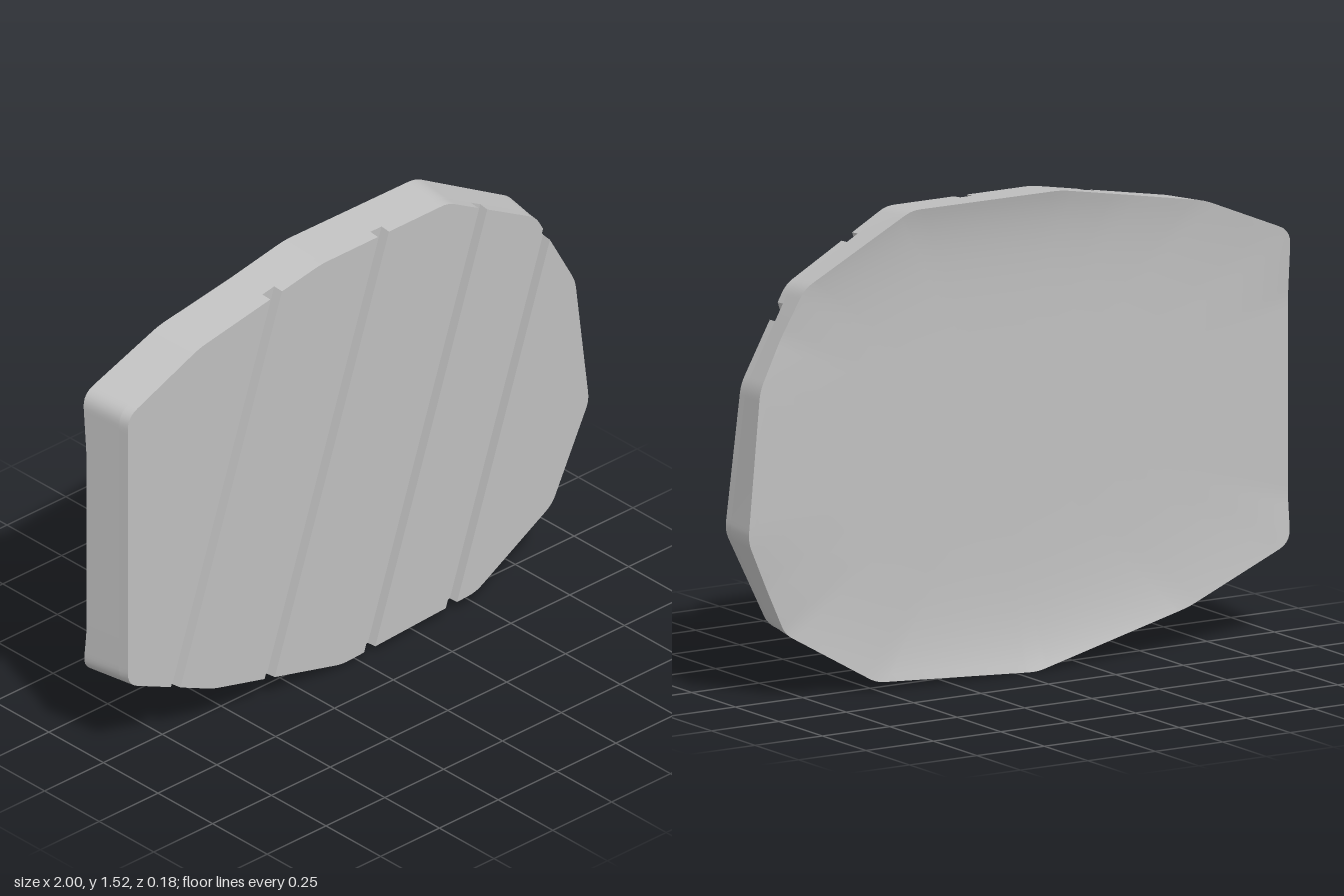
import * as THREE from 'three';
import { toCreasedNormals } from 'three/addons/utils/BufferGeometryUtils.js';

const CY = 0.763, FRONT_Z = 0.09, FLOOR_Z = 0.055;
const FRONT_SCALE = 0.98, FLOOR_SCALE = 0.984;
const LEAN = 0.341, GROOVE = 0.047;

// Back rim corners, counter-clockwise from the front: x, y, z, corner radius
const RIM = [
  [-1, 0.305, -0.092, 0.045], [-0.63, 0.14, -0.08, 0.03], [-0.07, 0, -0.079, 0.03],
  [0.51, 0.03, -0.052, 0.03], [0.84, 0.22, -0.039, 0.03], [0.92, 0.38, -0.053, 0.03],
  [1, 0.54, -0.075, 0.03], [0.94, 1.01, -0.05, 0.03], [0.855, 1.163, -0.035, 0.03],
  [0.77, 1.315, -0.043, 0.03], [0.39, 1.525, -0.07, 0.03], [-0.16, 1.525, -0.076, 0.03],
  [-0.4, 1.482, -0.074, 0.03], [-0.69, 1.43, -0.081, 0.03], [-1, 1.3, -0.094, 0.045],
  [-1, 1.08, -0.077, 0.03], [-1, 0.45, -0.077, 0.03],
];

// Outline with small rounded corners
function roundedRim() {
  const pts = RIM.map((p) => new THREE.Vector3(p[0], p[1], p[2]));
  const out = [];
  pts.forEach((p, i) => {
    const prev = pts[(i + pts.length - 1) % pts.length], next = pts[(i + 1) % pts.length];
    const toward = (q, d) => p.clone().addScaledVector(q.clone().sub(p).normalize(), d);
    const r = RIM[i][3];
    const curve = new THREE.QuadraticBezierCurve3(toward(prev, r), p, toward(next, r));
    out.push(toward(prev, r * 1.4), ...curve.getPoints(5), toward(next, r * 1.4));
  });
  return out;
}

// The outline scaled about its middle; z is a number or a rule
const scaled = (ring, s, z) => ring.map((p) =>
  new THREE.Vector3(p.x * s, CY + (p.y - CY) * s, z));

// Skin a list of rings from front to back, closing the first with a fan
function loft(rings) {
  const pos = [];
  const tri = (...v) => v.forEach((p) => pos.push(p.x, p.y, p.z));
  const n = rings[0].length;
  const mid = rings[0].reduce((a, p) => a.add(p), new THREE.Vector3()).divideScalar(n);
  for (let j = 0; j < n; j++) {
    const k = (j + 1) % n;
    tri(mid, rings[0][j], rings[0][k]);
    for (let i = 0; i + 1 < rings.length; i++) {
      const a = rings[i], b = rings[i + 1];
      tri(a[j], b[j], b[k]);
      if (a[j].distanceTo(a[k]) > 1e-6) tri(a[j], b[k], a[k]);
    }
  }
  const geo = new THREE.BufferGeometry();
  geo.setAttribute('position', new THREE.Float32BufferAttribute(pos, 3));
  return toCreasedNormals(geo, 0.6);
}

// Keep the part of a convex ring where sign * (u - limit) >= 0, u across the grooves
function clip(ring, limit, sign) {
  const side = (p) => sign * (p.x - LEAN * (p.y - CY) - limit);
  const out = [];
  ring.forEach((p, i) => {
    const q = ring[(i + 1) % ring.length], a = side(p), b = side(q);
    if (a >= 0) out.push(p.clone());
    if (a * b < 0) out.push(p.clone().lerp(q, a / (a - b)));
  });
  return out;
}

export function createModel() {
  const group = new THREE.Group();
  const grey = new THREE.MeshStandardMaterial({ color: 0xc0c0c0 });
  grey.name = 'light grey';
  const add = (name, geo) => {
    const mesh = new THREE.Mesh(geo, grey);
    mesh.name = name;
    group.add(mesh);
  };

  // Body: groove floor, flared side wall and shallow hollow back
  const rim = roundedRim();
  const hollow = (x) => -0.032 - 0.045 * Math.pow(Math.max(0, -x), 1.5);
  const rings = [scaled(rim, FLOOR_SCALE, FLOOR_Z), rim];
  for (const t of [0.97, 0.93, 0.88, 0.82, 0.75, 0.66, 0.55, 0.4, 0.2, 0]) {
    rings.push(scaled(rim, t, 0).map((p, i) => {
      p.z = THREE.MathUtils.lerp(hollow(p.x), rim[i].z, Math.pow(t, 6));
      return p;
    }));
  }
  add('panelBody', loft(rings));

  // Front slats separated by four slanting grooves
  const front = scaled(rim, FRONT_SCALE, FRONT_Z);
  const grooves = [-0.592, -0.148, 0.301, 0.642];
  for (let i = 0; i <= grooves.length; i++) {
    let face = front;
    if (i > 0) face = clip(face, grooves[i - 1] + GROOVE / 2, 1);
    if (i < grooves.length) face = clip(face, grooves[i] - GROOVE / 2, -1);
    add('frontSlat' + (i + 1), loft([face, scaled(face, FLOOR_SCALE / FRONT_SCALE, FLOOR_Z)]));
  }
  return group;
}
